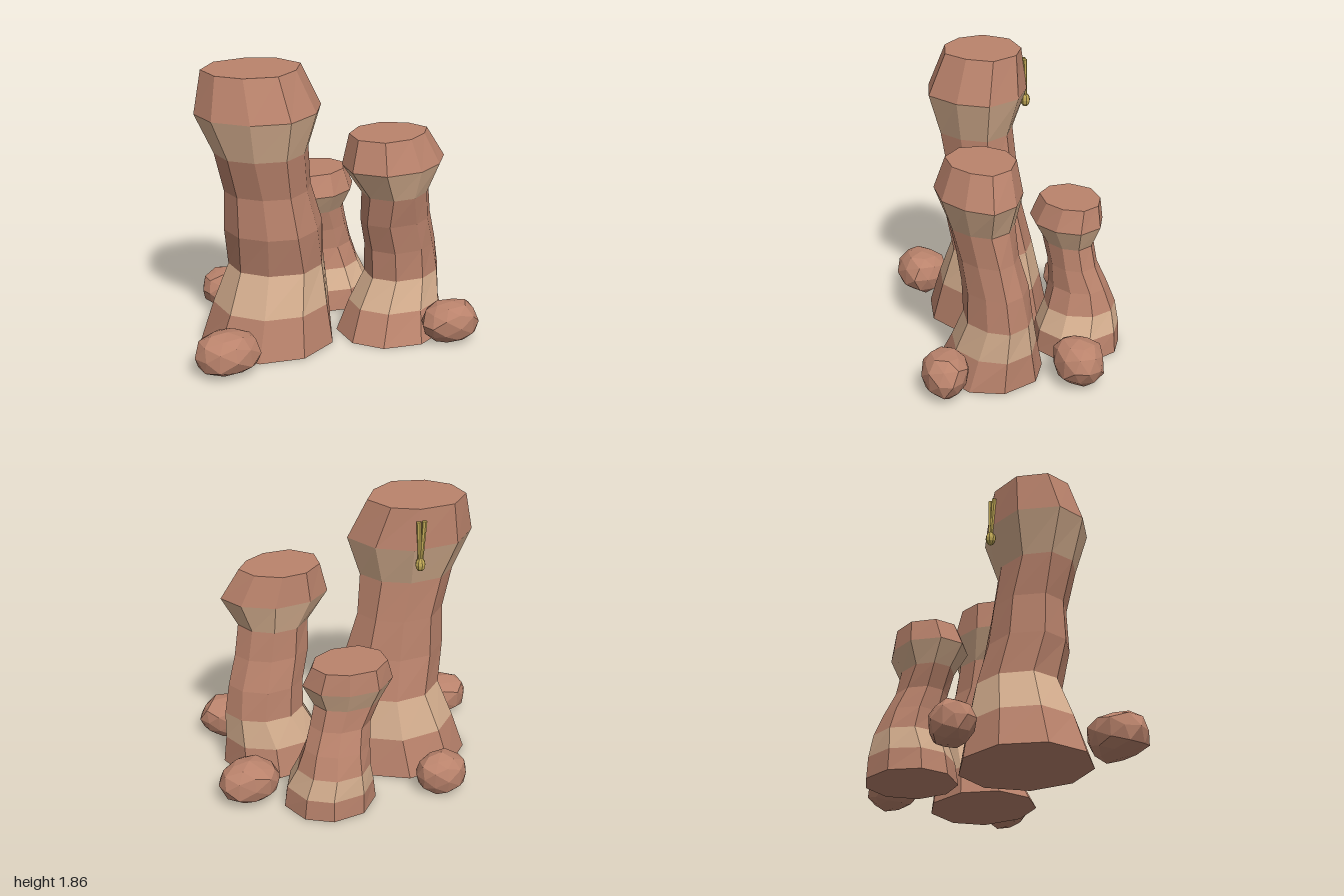
import * as THREE from 'three';

const clay = new THREE.MeshStandardMaterial({ color: 0xba836c });
clay.name = 'red sandstone';
const sand = new THREE.MeshStandardMaterial({ color: 0xd7b090 });
sand.name = 'pale sandstone';
const gold = new THREE.MeshStandardMaterial({ color: 0xc2aa57 });
gold.name = 'dull gold';

const SIDES = 9, ROWS = 7;

// repeatable noise in -1..1
function noise(a, b, c) {
  const s = Math.sin(a * 12.9898 + b * 78.233 + c * 37.719) * 43758.5453;
  return (s - Math.floor(s)) * 2 - 1;
}

// unshared corners with one normal per face
function faceted(geometry) {
  const g = geometry.index ? geometry.toNonIndexed() : geometry;
  g.computeVertexNormals();
  return g;
}

function mesh(name, geometry, material, parent) {
  const m = new THREE.Mesh(geometry, material);
  m.name = name;
  parent.add(m);
  return m;
}

// rock column; rings from the ground up as [centre x, centre z, radius x, radius z]
// bulges: radius change toward the front left, back left, back right and front right
function spire(name, height, bulges, rings, parent) {
  const g = new THREE.CylinderGeometry(1, 1, 1, SIDES, ROWS);
  const p = g.attributes.position;
  for (let i = 0; i < p.count; i++) {
    const row = Math.round((p.getY(i) + 0.5) * ROWS);
    const [cx, cz, rx, rz] = rings[row];
    const r = Math.hypot(p.getX(i), p.getZ(i));
    const side = (Math.round((Math.atan2(p.getX(i), p.getZ(i)) / (2 * Math.PI)) * SIDES) + SIDES) % SIDES;
    const a = ((side + 0.25 + 0.06 * noise(side, row, height)) / SIDES) * Math.PI * 2;
    const quarter = Math.floor(a / (Math.PI / 2)) % 4;
    const bulge = bulges[quarter] * Math.abs(Math.sin(2 * a)) * Math.min(1, row / 3);
    const k = r * (1.01 + bulge + 0.01 * noise(row, side, height + 3));
    p.setXYZ(i, cx + Math.sin(a) * rx * k, (row / ROWS) * height, cz + Math.cos(a) * rz * k);
  }
  // pale bands on the second row from the ground and the second from the top
  g.clearGroups();
  for (let s = 0; s < SIDES; s++) {
    for (let y = 0; y < ROWS; y++) {
      g.addGroup((s * ROWS + y) * 6, 6, y === 1 || y === ROWS - 2 ? 1 : 0);
    }
  }
  g.addGroup(SIDES * ROWS * 6, SIDES * 6, 0);
  mesh(name, faceted(g), [clay, sand], parent);
}

// loose blocky boulder resting on the ground
function boulder(name, centre, half, seed, parent) {
  const g = new THREE.IcosahedronGeometry(1, 1);
  const p = g.attributes.position;
  const v = new THREE.Vector3();
  for (let i = 0; i < p.count; i++) {
    v.fromBufferAttribute(p, i);
    const q = v.toArray().map((n) => Math.round(n * 50));
    v.y = Math.sign(v.y) * Math.abs(v.y) ** 0.78;
    v.multiplyScalar(0.98 + 0.07 * noise(q[0] + seed, q[1], q[2]));
    p.setXYZ(i, centre[0] + v.x * half[0], Math.max(0, centre[1] + v.y * half[1]), centre[2] + v.z * half[2]);
  }
  mesh(name, faceted(g), clay, parent);
}

// thin tapered rod between two points
function rod(name, from, to, rFrom, rTo, parent) {
  const a = new THREE.Vector3(...from), b = new THREE.Vector3(...to);
  const d = b.clone().sub(a);
  const m = mesh(name, faceted(new THREE.CylinderGeometry(rTo, rFrom, d.length(), 6)), gold, parent);
  m.position.copy(a).add(b).multiplyScalar(0.5);
  m.quaternion.setFromUnitVectors(new THREE.Vector3(0, 1, 0), d.normalize());
}

export function createModel() {
  const model = new THREE.Group();
  model.name = 'rockSpires';

  spire('tallSpire', 1.86, [-0.09, -0.04, 0.05, -0.11], [
    [-0.35, 0, 0.45, 0.41], [-0.315, 0, 0.39, 0.35], [-0.275, 0, 0.325, 0.28], [-0.315, 0.05, 0.325, 0.275],
    [-0.35, 0.045, 0.287, 0.245], [-0.4, 0.075, 0.307, 0.255], [-0.412, 0.065, 0.408, 0.34], [-0.44, 0.015, 0.317, 0.268],
  ], model);

  spire('middleSpire', 1.4, [-0.12, -0.05, 0, 0.05], [
    [0.46, 0.215, 0.375, 0.335], [0.5, 0.19, 0.32, 0.27], [0.555, 0.18, 0.267, 0.215], [0.535, 0.19, 0.253, 0.205],
    [0.48, 0.225, 0.25, 0.19], [0.457, 0.255, 0.233, 0.205], [0.438, 0.265, 0.357, 0.267], [0.405, 0.24, 0.267, 0.215],
  ], model);

  spire('shortSpire', 0.985, [-0.05, 0, 0.08, 0.06], [
    [0.298, -0.43, 0.3, 0.29], [0.3, -0.437, 0.28, 0.275], [0.285, -0.46, 0.235, 0.235], [0.26, -0.455, 0.21, 0.185],
    [0.225, -0.425, 0.195, 0.155], [0.175, -0.41, 0.21, 0.158], [0.168, -0.4, 0.285, 0.228], [0.165, -0.425, 0.24, 0.188],
  ], model);

  boulder('frontRightBoulder', [-0.785, 0.14, 0.375], [0.215, 0.148, 0.178], 1, model);
  boulder('frontLeftBoulder', [0.713, 0.143, 0.568], [0.198, 0.148, 0.15], 2, model);
  boulder('backLeftBoulder', [0.79, 0.143, -0.28], [0.21, 0.148, 0.16], 3, model);
  boulder('backRightBoulder', [-0.425, 0.135, -0.58], [0.175, 0.145, 0.14], 4, model);

  // hanging pendant on the back of the tall spire
  const pendant = new THREE.Group();
  pendant.name = 'pendant';
  model.add(pendant);
  for (const s of [-1, 1]) {
    rod('pendantCord', [-0.37 + s * 0.006, 1.52, -0.272], [-0.376 + s * 0.02, 1.785, -0.262], 0.011, 0.016, pendant);
  }
  const bulb = mesh('pendantBulb', faceted(new THREE.SphereGeometry(0.033, 8, 6)), gold, pendant);
  bulb.scale.y = 1.4;
  bulb.position.set(-0.37, 1.5, -0.272);

  return model;
}
